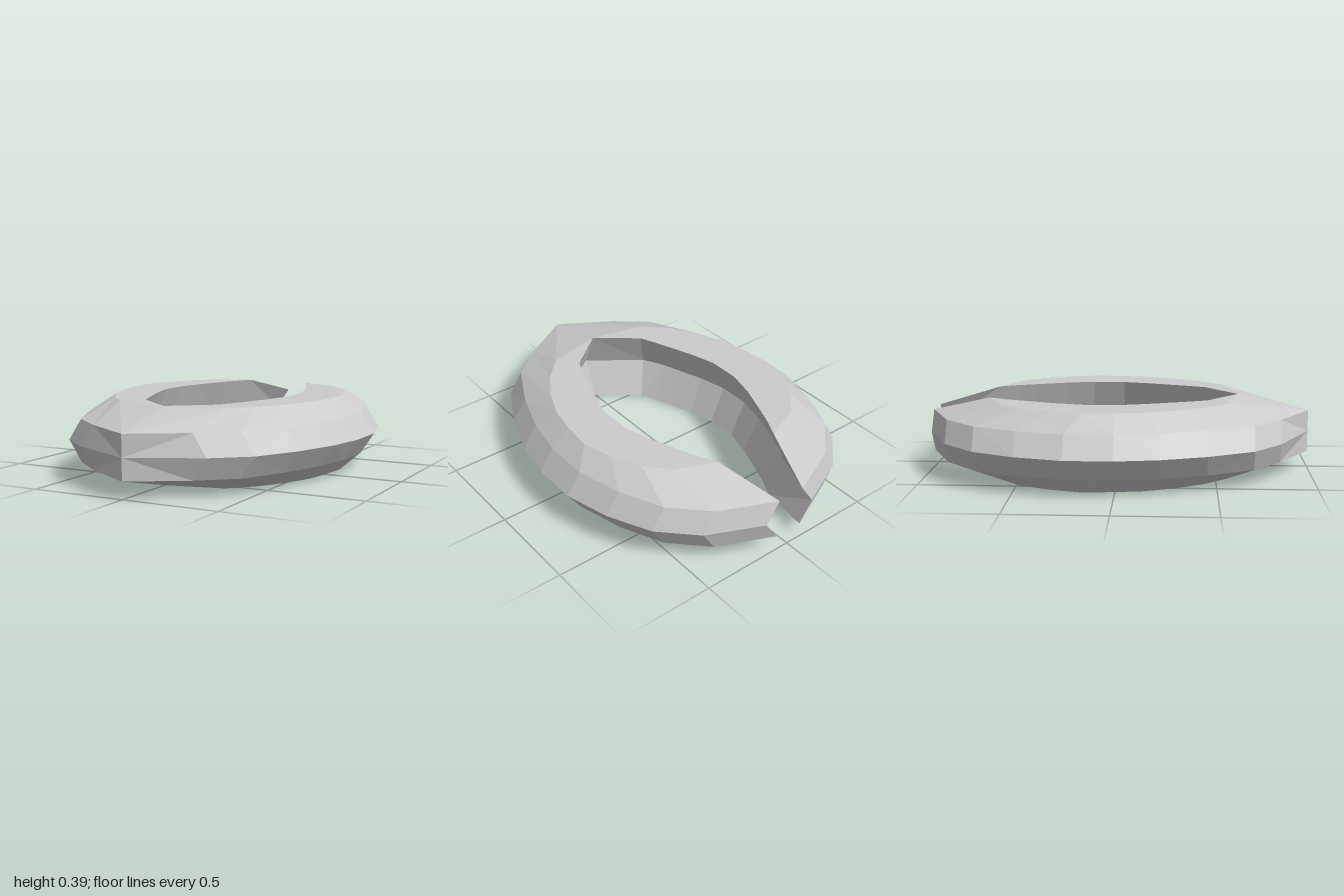
import * as THREE from 'three';

// Heights of the section: flat faces, ridges and the middle
const TOP = 0.393, RIDGE = 0.308, MID = 0.197;

// Plan outlines [x, z] of one half, running from the pointed front to the open back
const rim = [[0, 1], [0.35, 0.83], [0.525, 0.685], [0.65, 0.45], [0.73, 0.22], [0.768, 0],
  [0.768, -0.24], [0.705, -0.48], [0.6, -0.7], [0.43, -0.87], [0.15, -1], [0.15, -1]];
const ridge = [[0, 1], [0.275, 0.83], [0.45, 0.685], [0.57, 0.45], [0.65, 0.22], [0.692, 0],
  [0.692, -0.24], [0.63, -0.48], [0.53, -0.7], [0.36, -0.87], [0.075, -1], [0.075, -1]];
const flat = [[0, 0.625], [0.3, 0.555], [0.41, 0.44], [0.5, 0.3], [0.565, 0.14], [0.59, 0],
  [0.605, -0.165], [0.56, -0.32], [0.49, -0.48], [0.38, -0.59], [0.18, -0.68], [0.075, -1]];
const inner = [[0, 0.625], [0.21, 0.455], [0.25, 0.36], [0.29, 0.25], [0.33, 0.14], [0.368, 0],
  [0.368, -0.17], [0.33, -0.32], [0.27, -0.48], [0.23, -0.58], [0.18, -0.68], [0.075, -1]];
// Hollow along the middle of the inner wall
const hollow = [[0, 0.71], [0.27, 0.51], [0.33, 0.39], [0.37, 0.27], [0.41, 0.15], [0.445, 0],
  [0.445, -0.18], [0.405, -0.34], [0.345, -0.51], [0.3, -0.61], [0.25, -0.71], [0.15, -1]];

// Closed eight-sided section at one station
function section(i) {
  const last = i === rim.length - 1;
  const top = last ? RIDGE : TOP;
  const at = ([x, z], y) => new THREE.Vector3(x, y, z);
  return [
    at(inner[i], top), at(flat[i], top), at(ridge[i], RIDGE), at(rim[i], MID),
    at(ridge[i], 2 * MID - RIDGE), at(flat[i], 2 * MID - top), at(inner[i], 2 * MID - top),
    at(hollow[i], MID),
  ];
}

// Skin the sections of one half; side is +1 or -1
function halfGeometry(side) {
  const sections = rim.map((_, i) => section(i));
  const positions = [];
  const tri = (a, b, c) => {
    const area = b.clone().sub(a).cross(c.clone().sub(a)).length();
    if (area < 1e-6) return;
    for (const p of side > 0 ? [a, b, c] : [a, c, b]) positions.push(p.x * side, p.y, p.z);
  };
  for (let i = 0; i < sections.length - 1; i++) {
    for (let j = 0; j < 8; j++) {
      const k = (j + 1) % 8;
      const a = sections[i][j], b = sections[i][k];
      const c = sections[i + 1][k], d = sections[i + 1][j];
      // Diagonals are mirrored between the upper and lower halves
      if (j < 3 || j === 7) { tri(a, b, d); tri(b, c, d); }
      else { tri(a, b, c); tri(a, c, d); }
    }
  }
  const geometry = new THREE.BufferGeometry();
  geometry.setAttribute('position', new THREE.Float32BufferAttribute(positions, 3));
  geometry.computeVertexNormals();
  return geometry;
}

export function createModel() {
  const group = new THREE.Group();
  group.name = 'openRing';
  const material = new THREE.MeshStandardMaterial({ color: 0xcccccc, flatShading: true });
  for (const side of [1, -1]) {
    const half = new THREE.Mesh(halfGeometry(side), material);
    half.name = side > 0 ? 'leftHalf' : 'rightHalf';
    group.add(half);
  }
  return group;
}
